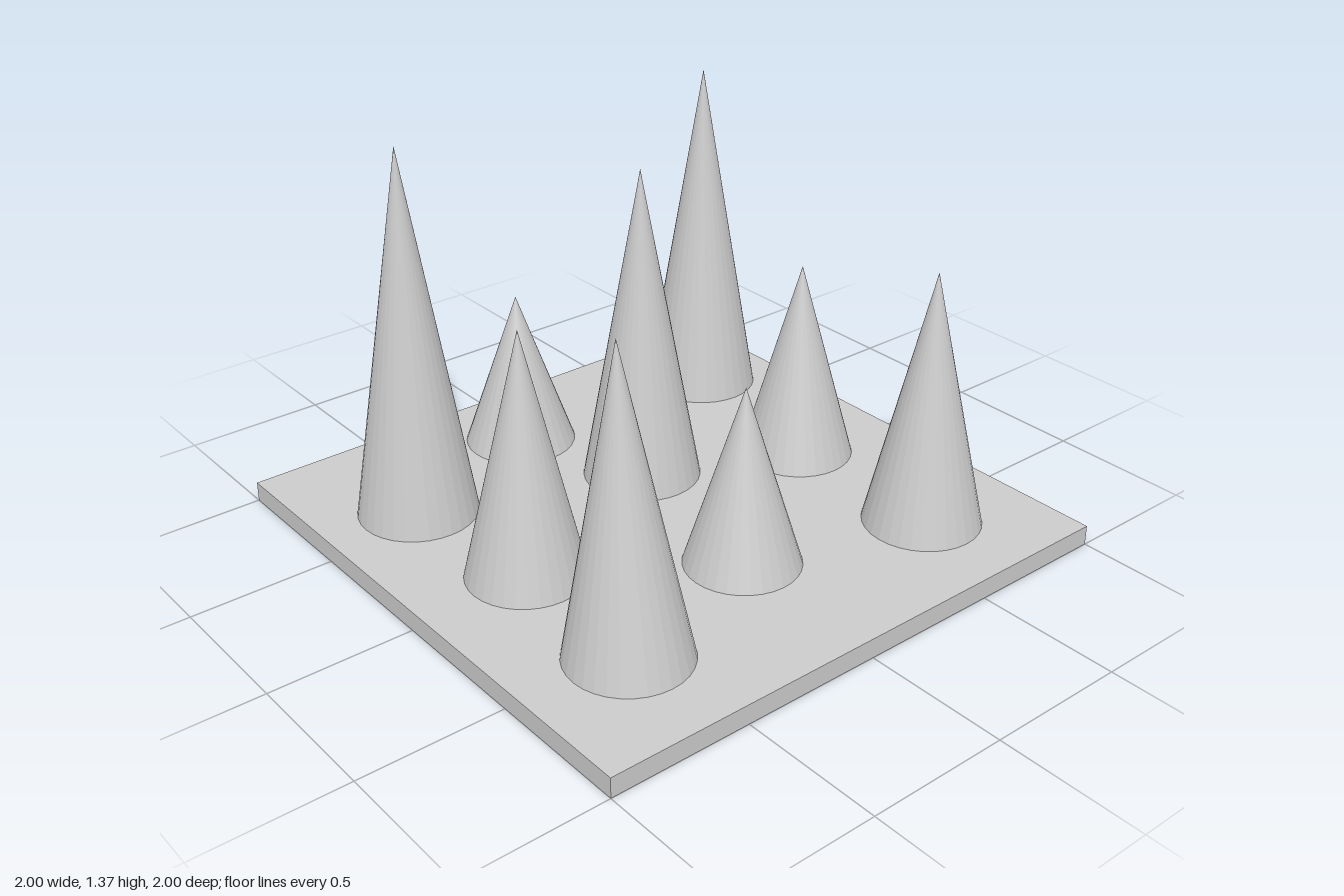
import * as THREE from 'three';

const PLATE_TOP = 0.07;

// x, z, base radius, tip height, backward lean of the tip
const SPIKES = [
  [-0.66, -0.495, 0.205, 1.365, 0],
  [-0.105, -0.687, 0.195, 0.63, 0],
  [0.703, -0.633, 0.204, 1.305, 0],
  [0.083, -0.219, 0.204, 1.195, 0],
  [-0.604, 0.053, 0.2, 0.93, 0],
  [0.608, 0.008, 0.198, 0.785, 0],
  [-0.625, 0.603, 0.204, 1.1, 0.043],
  [-0.027, 0.434, 0.195, 0.7, 0],
  [0.607, 0.62, 0.201, 0.97, 0],
];

export function createModel() {
  const model = new THREE.Group();
  model.name = 'spikeBoard';
  const material = new THREE.MeshStandardMaterial({ color: 0xcccccc, flatShading: true });

  // Square base plate
  const plate = new THREE.Mesh(new THREE.BoxGeometry(2, PLATE_TOP, 2), material);
  plate.position.y = PLATE_TOP / 2;
  plate.name = 'basePlate';
  model.add(plate);

  // Cones standing on the plate, sheared where the tip is off centre
  SPIKES.forEach(([x, z, radius, tip, lean], i) => {
    const height = tip - PLATE_TOP;
    const geometry = new THREE.ConeGeometry(radius, height, 32);
    geometry.translate(0, height / 2, 0);
    const shear = new THREE.Matrix4();
    shear.elements[6] = -lean / height;
    geometry.applyMatrix4(shear);
    const cone = new THREE.Mesh(geometry, material);
    cone.position.set(x, PLATE_TOP, z);
    cone.name = `cone${i + 1}`;
    model.add(cone);
  });

  return model;
}
